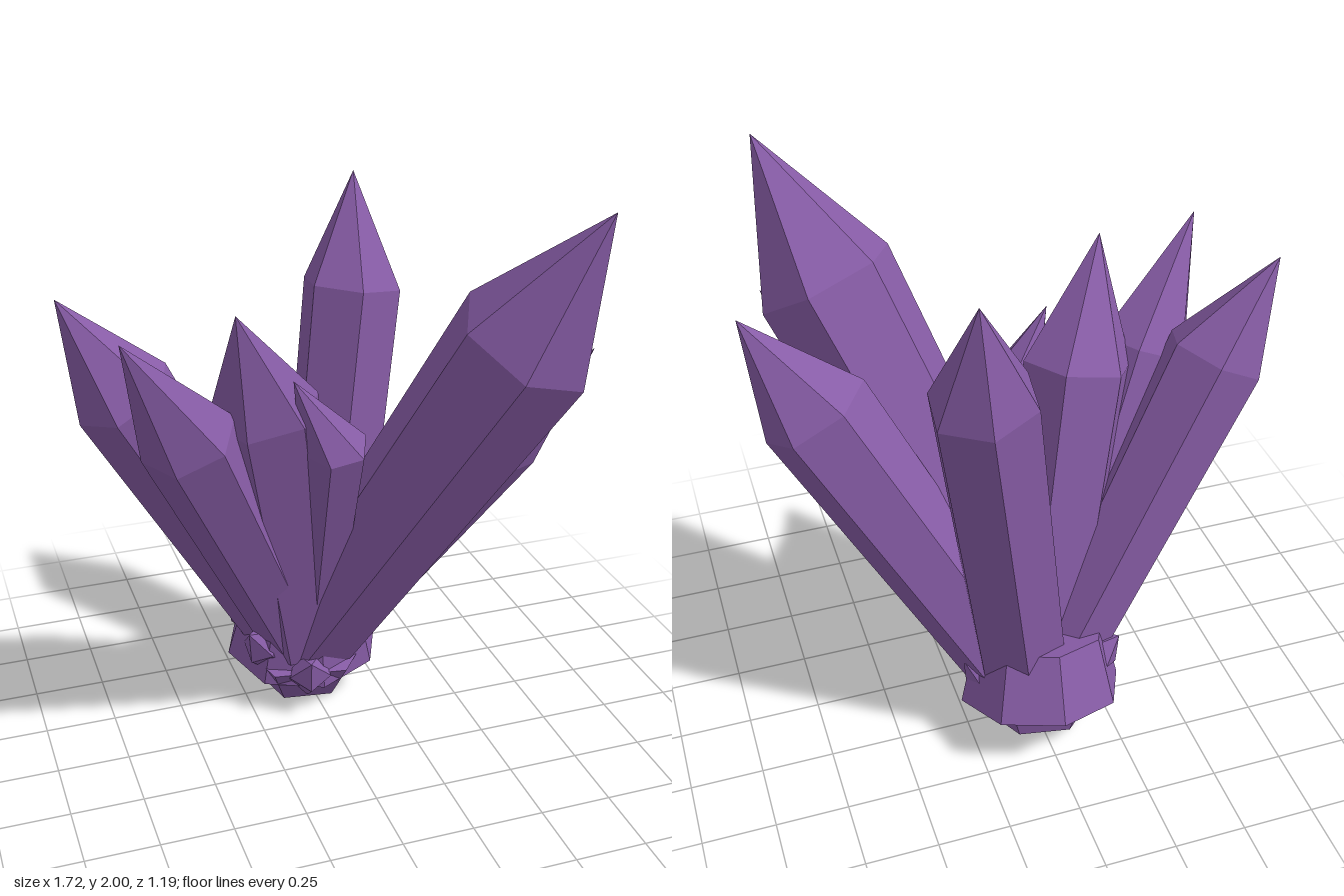
import * as THREE from 'three';

const V = (a) => new THREE.Vector3(...a);

// Six-sided crystal: tapered shaft from root to shoulder, then a point at tip.
// "edge" is the direction of one shoulder corner from the shaft's axis.
function crystalGeometry({ root, shoulder, tip, edge, r, taper = 0.74, sides = 6 }) {
  const a = V(root), b = V(shoulder), apex = V(tip);
  const axis = b.clone().sub(a).normalize();
  const u = V(edge).projectOnPlane(axis).normalize();
  const v = axis.clone().cross(u);
  const ring = (c, radius) => Array.from({ length: sides }, (_, i) => {
    const t = (i / sides) * Math.PI * 2;
    return c.clone().addScaledVector(u, radius * Math.cos(t)).addScaledVector(v, radius * Math.sin(t));
  });
  const low = ring(a, r * taper), high = ring(b, r), pts = [];
  for (let i = 0; i < sides; i++) {
    const j = (i + 1) % sides;
    pts.push(low[i], low[j], high[j], low[i], high[j], high[i]); // shaft
    pts.push(high[i], high[j], apex);                            // point
    pts.push(a, low[j], low[i]);                                 // root cap
  }
  const g = new THREE.BufferGeometry().setFromPoints(pts);
  g.computeVertexNormals();
  return g;
}

export function createModel() {
  const group = new THREE.Group();
  const purple = new THREE.MeshStandardMaterial({ color: 0x875ca6 });
  purple.name = 'purple';
  purple.flatShading = true;

  const add = (name, geometry) => {
    const mesh = new THREE.Mesh(geometry, purple);
    mesh.name = name;
    group.add(mesh);
    return mesh;
  };

  // Large crystals fanning out of the base
  const crystals = {
    frontLeftCrystal: { root: [-0.01, 0.23, -0.23], shoulder: [0.52, 1.55, 0.38], tip: [0.69, 2.0, 0.58], edge: [-0.1, -0.05, 0.23], r: 0.24, taper: 0.76 },
    slimCrystal: { root: [0.12, 0.25, -0.2], shoulder: [0.54, 1.13, 0.23], tip: [0.735, 1.52, 0.43], edge: [0.08, -0.1, 0.03], r: 0.115 },
    backCrystal: { root: [0.05, 0.25, -0.28], shoulder: [0.225, 1.52, -0.42], tip: [0.26, 1.9, -0.51], edge: [0.02, -0.02, -0.18], r: 0.178, taper: 0.92 },
    leftCrystal: { root: [0.09, 0.25, -0.25], shoulder: [0.655, 1.29, 0.015], tip: [0.86, 1.63, 0.08], edge: [0.15, -0.1, 0], r: 0.188, taper: 0.8 },
    rightCrystal: { root: [-0.09, 0.25, -0.27], shoulder: [-0.665, 1.33, -0.13], tip: [-0.86, 1.67, -0.14], edge: [-0.15, -0.09, 0.02], r: 0.172, taper: 0.78 },
    frontRightCrystal: { root: [-0.07, 0.25, -0.21], shoulder: [-0.51, 1.25, 0.11], tip: [-0.74, 1.65, 0.27], edge: [-0.05, -0.13, 0.12], r: 0.165 },
    middleCrystal: { root: [-0.04, 0.25, -0.21], shoulder: [-0.24, 1.29, 0.03], tip: [-0.365, 1.67, 0.19], edge: [-0.08, -0.06, 0.13], r: 0.19, taper: 0.85 },
    smallCrystal: { root: [0.0, 0.25, -0.18], shoulder: [-0.03, 1.17, 0.13], tip: [-0.18, 1.43, 0.18], edge: [-0.05, -0.04, 0.12], r: 0.12 },
  };
  for (const [name, spec] of Object.entries(crystals)) add(name, crystalGeometry(spec));

  // Tilted rock the crystals grow from
  const rock = (name, top, bottom, h, pos, sides, turn, tilt) => {
    const g = new THREE.CylinderGeometry(top, bottom, h, sides);
    g.rotateY(turn);
    g.scale(1.06, 1, 1);
    const m = add(name, g);
    m.position.set(...pos);
    m.rotation.set(tilt, 0, 0.05);
  };
  rock('baseCollar', 0.22, 0.275, 0.24, [-0.01, 0.285, -0.285], 8, 0, 0.23);
  rock('baseStub', 0.25, 0.17, 0.19, [-0.01, 0.128, -0.28], 6, 0.35, 0.22);

  // Short shards hugging the collar: outward angle, tip height
  const shards = [[-0.2, 0.24], [1.6, 0.35], [4.4, 0.38], [5.2, 0.32]];
  shards.forEach(([t, y], i) => {
    const x = Math.sin(t), z = Math.cos(t);
    const at = (d, h) => [d * x - 0.01, h, d * z - 0.28];
    add(`shard${i + 1}`, crystalGeometry({
      root: at(0.1, y - 0.16), shoulder: at(0.22, y - 0.06), tip: at(0.28, y),
      edge: [x, 0.3, z], r: 0.08, taper: 0.9, sides: 5,
    }));
  });

  return group;
}
